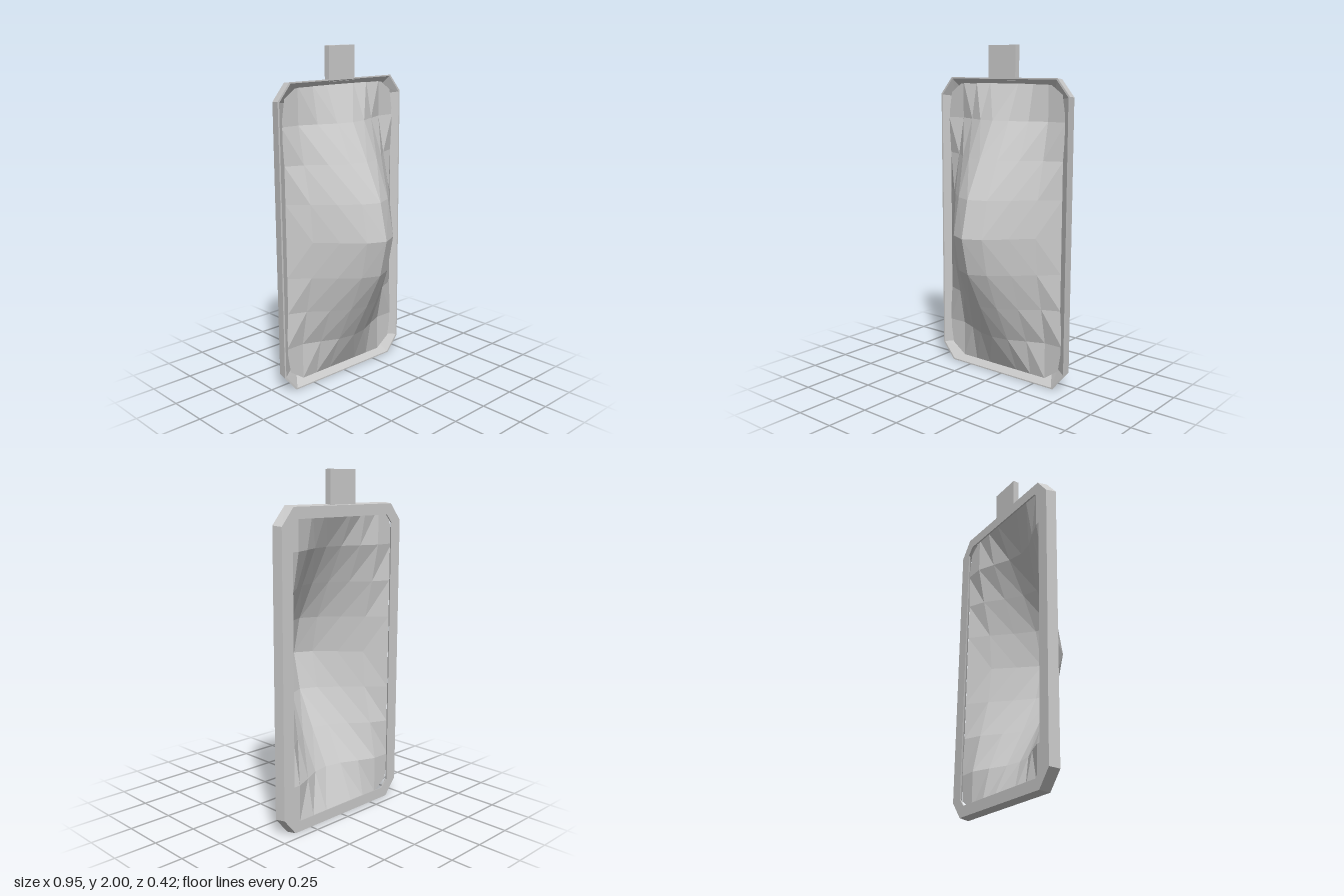
import * as THREE from 'three';

const material = new THREE.MeshStandardMaterial({ color: 0xcccccc, flatShading: true });
const shellMaterial = new THREE.MeshStandardMaterial({
  color: 0xcccccc, flatShading: true, side: THREE.DoubleSide,
});

function meshFromTriangles(name, triangles, mat) {
  const geometry = new THREE.BufferGeometry().setFromPoints(triangles);
  geometry.computeVertexNormals();
  const mesh = new THREE.Mesh(geometry, mat);
  mesh.name = name;
  return mesh;
}

// Chamfered rectangle, counter-clockwise from the front
function octagon(w, y0, y1, cutX, cutY, z) {
  const x = w - cutX;
  return [
    [w, y0 + cutY], [w, y1 - cutY], [x, y1], [-x, y1],
    [-w, y1 - cutY], [-w, y0 + cutY], [-x, y0], [x, y0],
  ].map(([px, py]) => new THREE.Vector3(px, py, z));
}

// Chamfered frame: thin front lip, sloping inner wall, wide back face
function createFrame() {
  const loops = [
    octagon(0.475, 0, 1.815, 0.085, 0.1, -0.15),
    octagon(0.465, 0.008, 1.807, 0.082, 0.098, -0.15),
    octagon(0.395, 0.065, 1.75, 0.045, 0.05, -0.197),
    octagon(0.388, 0.07, 1.745, 0.04, 0.045, -0.21),
    octagon(0.464, 0.008, 1.808, 0.082, 0.098, -0.21),
  ];
  const triangles = [];
  loops.forEach((a, k) => {
    const b = loops[(k + 1) % loops.length];
    for (let i = 0; i < 8; i++) {
      const j = (i + 1) % 8;
      triangles.push(a[i], a[j], b[j], a[i], b[j], b[i]);
    }
  });
  return meshFromTriangles('frame', triangles, material);
}

// Height of the bulging panel over a distance of 0 (peak) to 1 (rim)
function bulge(d) {
  const heights = [0.21, 0.16, 0.05, -0.065, -0.175];
  const t = Math.min(d, 0.9999) * 4;
  const k = Math.floor(t);
  return THREE.MathUtils.lerp(heights[k], heights[k + 1], t - k);
}

// Faceted panel: an 8 by 8 grid with drawn-in corners
function createPanel() {
  const n = 8, half = n / 2;
  const point = (i, j) => {
    const u = (i - half) / half, v = (j - half) / half;
    const corner = Math.abs(u) === 1 && Math.abs(v) === 1;
    let x = u * 0.42, y = 0.917 + v * 0.873;
    if (corner) {
      x = u * 0.41;
      y = 0.917 + v * 0.808;
    } else if (Math.abs(u) === 1 && Math.abs(v) === 0.75) {
      x = u * 0.435;
    }
    return new THREE.Vector3(x, y, bulge(Math.hypot(u, v)));
  };
  const triangles = [];
  for (let j = 0; j < n; j++) {
    for (let i = 0; i < n; i++) {
      const a = point(i, j), b = point(i + 1, j);
      const c = point(i + 1, j + 1), d = point(i, j + 1);
      // Diagonals run out from the peak
      if ((i < half) === (j < half)) triangles.push(a, b, c, a, c, d);
      else triangles.push(a, b, d, b, c, d);
    }
  }
  return meshFromTriangles('bulgingPanel', triangles, shellMaterial);
}

export function createModel() {
  const model = new THREE.Group();
  model.name = 'framedPanel';
  model.add(createFrame(), createPanel());

  // Flat mounting tab on the top edge
  const tab = new THREE.Mesh(new THREE.BoxGeometry(0.196, 0.2, 0.037), material);
  tab.name = 'mountingTab';
  tab.position.set(-0.003, 1.9, -0.173);
  model.add(tab);
  return model;
}
